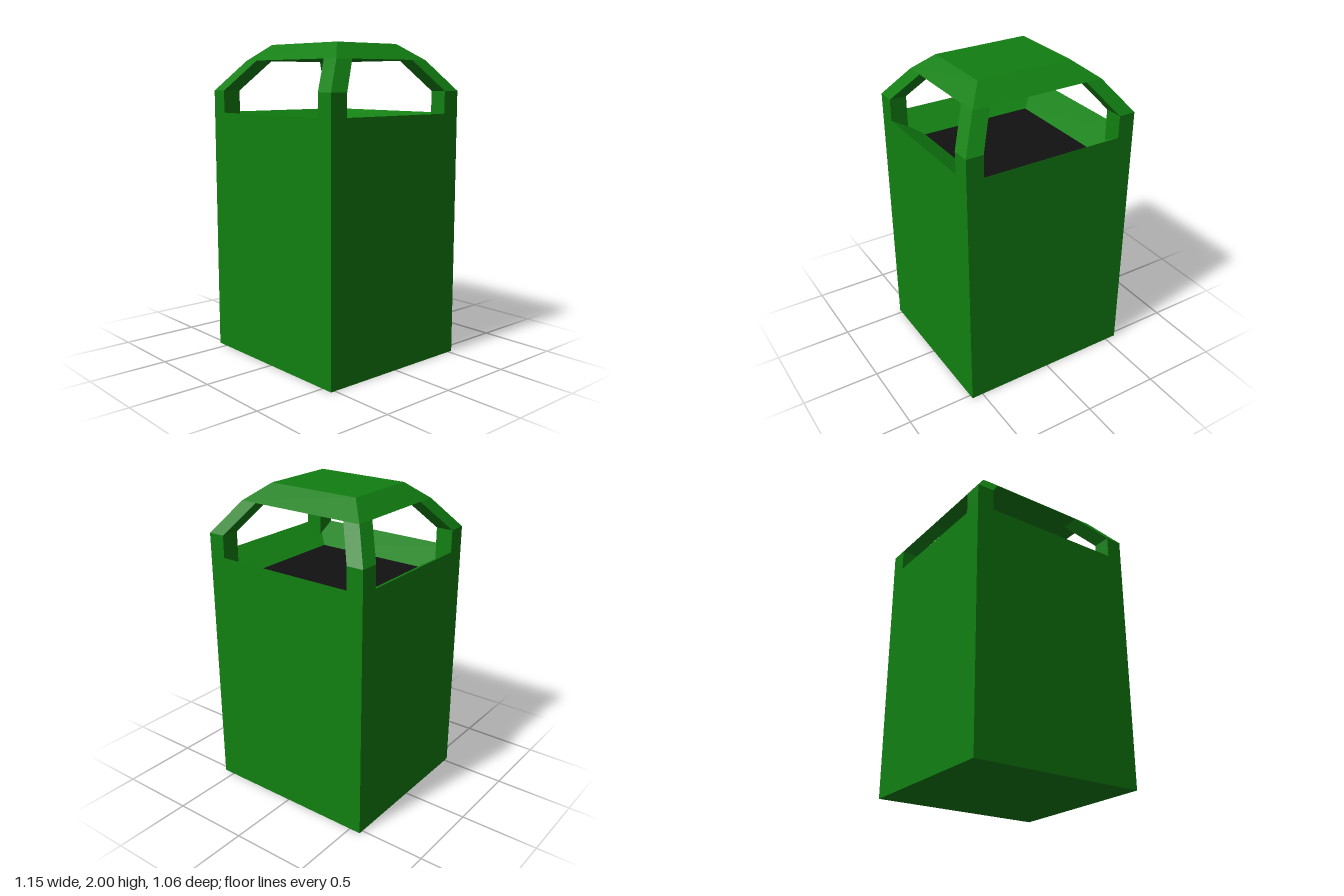
import * as THREE from 'three';

// Rectangle ring, counter-clockwise from above; y is a number or a function of (x, z)
function rect(x0, x1, z0, z1, y) {
  const h = typeof y === 'function' ? y : () => y;
  return [[x1, z1], [x1, z0], [x0, z0], [x0, z1]].map(([x, z]) => new THREE.Vector3(x, h(x, z), z));
}

// Faceted skin through successive four-cornered rings, with optional end caps
function loft(rings, capBottom = true, capTop = true) {
  const points = [];
  const quad = (a, b, c, d) => points.push(a, b, c, a, c, d);
  for (let r = 0; r < rings.length - 1; r++) {
    const lo = rings[r], hi = rings[r + 1];
    for (let i = 0; i < 4; i++) {
      const j = (i + 1) % 4;
      quad(lo[i], lo[j], hi[j], hi[i]);
    }
  }
  if (capBottom) quad(...[...rings[0]].reverse());
  if (capTop) quad(...rings[rings.length - 1]);
  const geometry = new THREE.BufferGeometry().setFromPoints(points);
  geometry.computeVertexNormals();
  return geometry;
}

export function createModel() {
  const group = new THREE.Group();
  const green = new THREE.MeshStandardMaterial({ name: 'green', color: 0x117f11 });
  const black = new THREE.MeshStandardMaterial({ name: 'black', color: 0x111111 });
  const add = (name, geometry, material) => {
    const mesh = new THREE.Mesh(geometry, material);
    mesh.name = name;
    group.add(mesh);
  };

  const W = 0.575, D = 0.53;              // half width and depth
  const rimY = 1.57, eaveY = 1.71, roofY = 1.9, topY = 2;
  const holeW = 0.38, holeD = 0.345, holeY = 1.453;

  // Body with a shallow funnel sloping in from the rim
  add('body', loft([
    rect(-W, W, -D, D, 0),
    rect(-W, W, -D, D, rimY),
    rect(-holeW, holeW, -holeD, holeD, holeY),
  ], true, false), green);

  // Dark opening at the bottom of the funnel
  const hole = new THREE.PlaneGeometry(holeW * 2, holeD * 2);
  hole.rotateX(-Math.PI / 2).translate(0, holeY, 0);
  add('opening', hole, black);

  // Corner posts: upright foot on the funnel, then a slanted strut to the roof
  const roof = { x0: -0.435, x1: 0.441, z0: -0.375, z1: 0.371 };
  const footY = (x, z) => rimY - 0.62 * Math.min(W - Math.abs(x), D - Math.abs(z));
  const span = (edge, inward) => [Math.min(edge, edge + inward), Math.max(edge, edge + inward)];
  for (const sx of [-1, 1]) {
    for (const sz of [-1, 1]) {
      const foot = [...span(sx * W, -sx * 0.11), ...span(sz * D, -sz * 0.12)];
      const head = [
        ...span(sx < 0 ? roof.x0 : roof.x1, -sx * 0.11),
        ...span(sz < 0 ? roof.z0 : roof.z1, -sz * 0.122),
      ];
      const name = (sz > 0 ? 'front' : 'back') + (sx > 0 ? 'Left' : 'Right') + 'Post';
      add(name, loft([rect(...foot, footY), rect(...foot, eaveY), rect(...head, roofY)]), green);
    }
  }

  // Bevelled roof slab
  add('roof', loft([
    rect(roof.x0, roof.x1, roof.z0, roof.z1, roofY),
    rect(-0.305, 0.322, -0.233, 0.262, topY),
  ]), green);

  return group;
}
